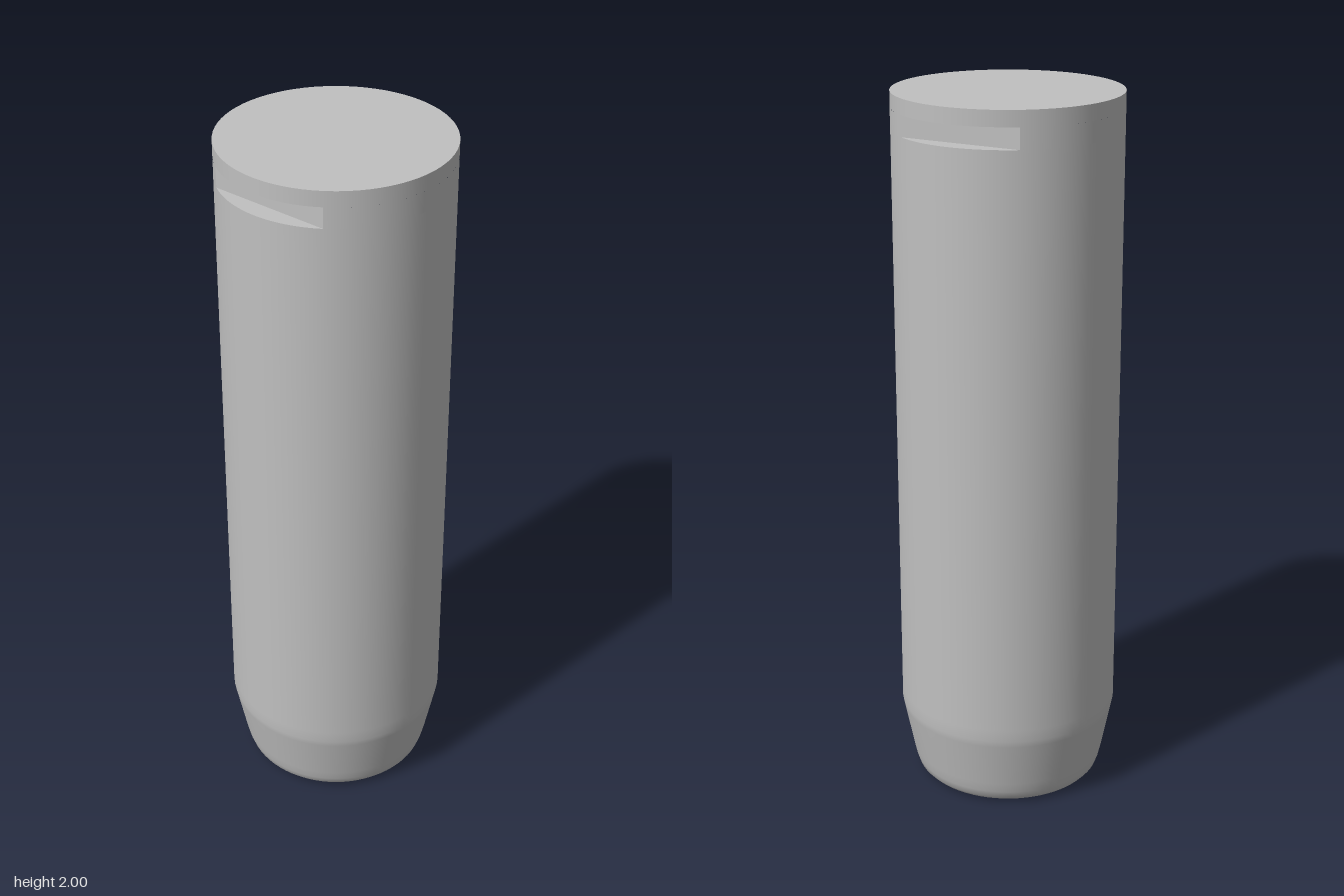
import * as THREE from 'three';

export function createModel() {
  const model = new THREE.Group();
  const steel = new THREE.MeshStandardMaterial({ color: 0xc0c0c0 });
  steel.name = 'steel';

  const R = 0.311, H = 2, SEG = 72;
  const slotX = 0.258, slotLow = 1.9, slotHigh = 1.957;
  const slotHalfZ = Math.sqrt(R * R - slotX * slotX);
  const slotHeight = slotHigh - slotLow, slotMid = (slotLow + slotHigh) / 2;

  const add = (name, geometry, x = 0, y = 0) => {
    const mesh = new THREE.Mesh(geometry, steel);
    mesh.name = name;
    mesh.position.set(x, y, 0);
    model.add(mesh);
    return mesh;
  };

  // Long shaft with a tapered, rounded foot
  const profile = [
    [0, 0], [0.225, 0], [0.242, 0.002], [0.255, 0.008], [0.266, 0.02], [0.273, 0.04],
    [0.28, 0.07], [0.307, 0.205], [R, 0.225], [R, 0.26], [R, slotLow],
  ].map(([r, y]) => new THREE.Vector2(r, y));
  add('shaft', new THREE.LatheGeometry(profile, SEG));

  // Collar above the slots and the flat end face
  add('collar', new THREE.CylinderGeometry(R, R, H - slotHigh, SEG, 1, true), 0, (H + slotHigh) / 2);
  add('endFace', new THREE.CircleGeometry(R, SEG).rotateX(-Math.PI / 2), 0, H);

  // Round neck walls at front and back, between the slots
  const half = Math.asin(slotX / R);
  for (const [name, mid] of [['neckFront', 0], ['neckBack', Math.PI]]) {
    add(name, new THREE.CylinderGeometry(R, R, slotHeight, 32, 1, true, mid - half, 2 * half), 0, slotMid);
  }

  // A flat-bottomed slot on each side: wall, lower ledge and upper ledge
  const angle = Math.acos(slotX / R);
  const segment = new THREE.Shape();
  segment.absarc(0, 0, R, -angle, angle, false);
  segment.closePath();
  for (const [side, turn] of [['left', 0], ['right', Math.PI]]) {
    const wall = new THREE.PlaneGeometry(2 * slotHalfZ, slotHeight).rotateY(Math.PI / 2).translate(slotX, 0, 0);
    add(side + 'SlotWall', wall.rotateY(turn), 0, slotMid);
    const lower = new THREE.ShapeGeometry(segment, 16).rotateX(-Math.PI / 2);
    add(side + 'SlotLowerLedge', lower.rotateY(turn), 0, slotLow);
    const upper = new THREE.ShapeGeometry(segment, 16).rotateX(Math.PI / 2);
    add(side + 'SlotUpperLedge', upper.rotateY(turn), 0, slotHigh);
  }

  return model;
}
